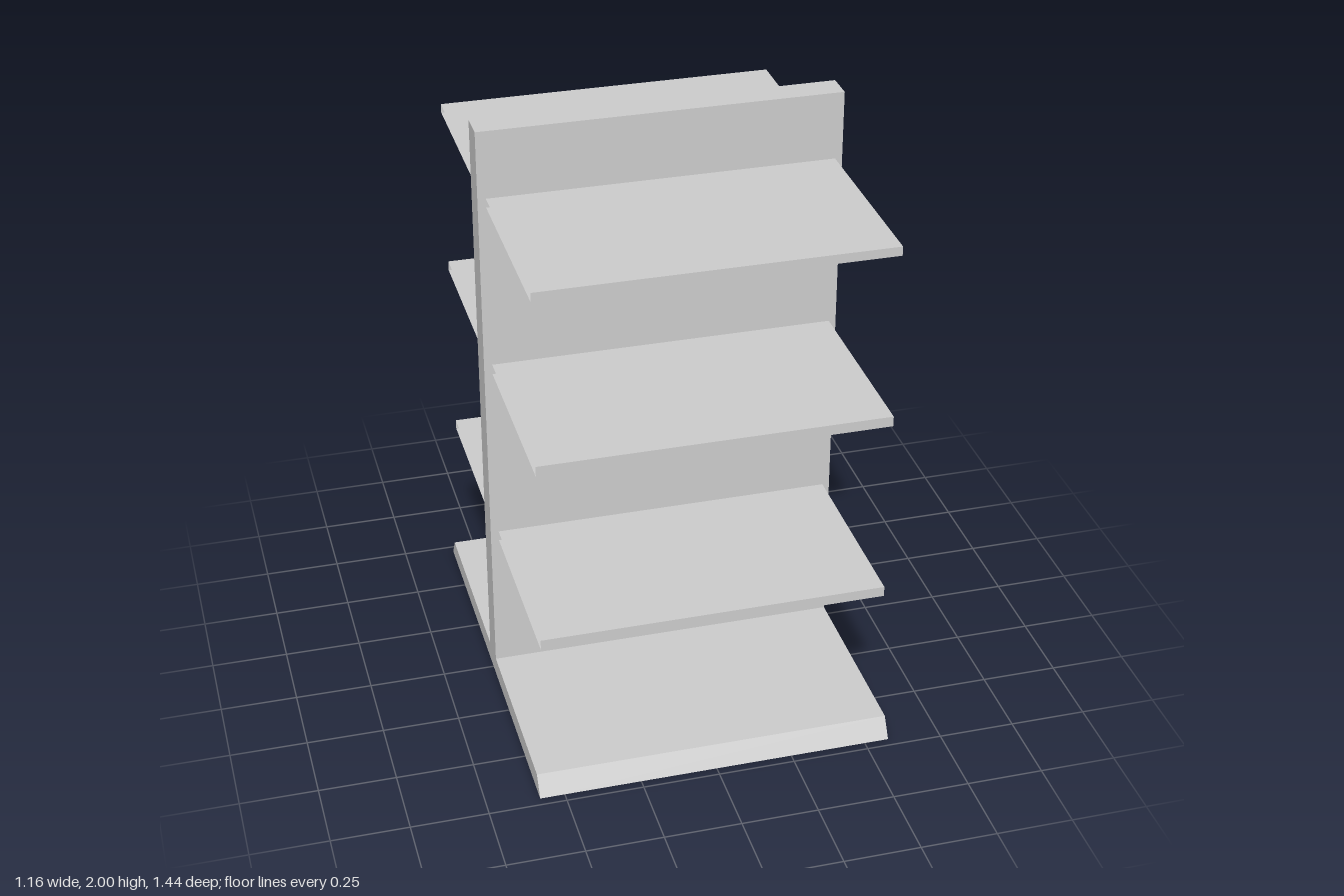
import * as THREE from 'three';

const material = new THREE.MeshStandardMaterial({ color: 0xcccccc, flatShading: true });
const sheetMaterial = new THREE.MeshStandardMaterial({ color: 0xcccccc, flatShading: true, side: THREE.DoubleSide });

// Central panel and bevelled base as one inverted T, extruded along x
function createStand() {
  const width = 1.16;
  const half = [[0.72, 0], [0.68, 0.065], [0.047, 0.065], [0.047, 2]];
  const mirrored = half.map(([z, y]) => [-z, y]).reverse();
  const shape = new THREE.Shape([...half, ...mirrored].map(([z, y]) => new THREE.Vector2(z, y)));
  const geometry = new THREE.ExtrudeGeometry(shape, { depth: width, bevelEnabled: false });
  geometry.translate(0, 0, -width / 2);
  geometry.rotateY(-Math.PI / 2);
  const mesh = new THREE.Mesh(geometry, material);
  mesh.name = 'panelAndBase';
  return mesh;
}

// Hollow shelf: top, bottom, front and back sheets, open at both ends
function createShelf(side, bottom, top) {
  const width = 1.11, near = 0.052, far = 0.677;
  const depth = far - near, height = top - bottom;
  const shelf = new THREE.Group();
  const addSheet = (name, h, y, z, tilt) => {
    const sheet = new THREE.Mesh(new THREE.PlaneGeometry(width, h), sheetMaterial);
    sheet.name = name;
    sheet.position.set(0, y, z);
    sheet.rotation.x = tilt;
    shelf.add(sheet);
  };
  const midY = (top + bottom) / 2, midZ = (near + far) / 2;
  addSheet('shelfTop', depth, top, midZ, -Math.PI / 2);
  addSheet('shelfBottom', depth, bottom, midZ, Math.PI / 2);
  addSheet('shelfFrontEdge', height, midY, far, 0);
  addSheet('shelfBackEdge', height, midY, near, Math.PI);
  if (side < 0) shelf.rotation.y = Math.PI;
  shelf.name = side > 0 ? 'frontShelf' : 'backShelf';
  return shelf;
}

export function createModel() {
  const model = new THREE.Group();
  model.name = 'doubleSidedShelfUnit';
  model.add(createStand());
  // Three shelves on each face of the panel
  for (const [bottom, top] of [[0.543, 0.577], [1.169, 1.203], [1.75, 1.78]]) {
    for (const side of [1, -1]) model.add(createShelf(side, bottom, top));
  }
  return model;
}
